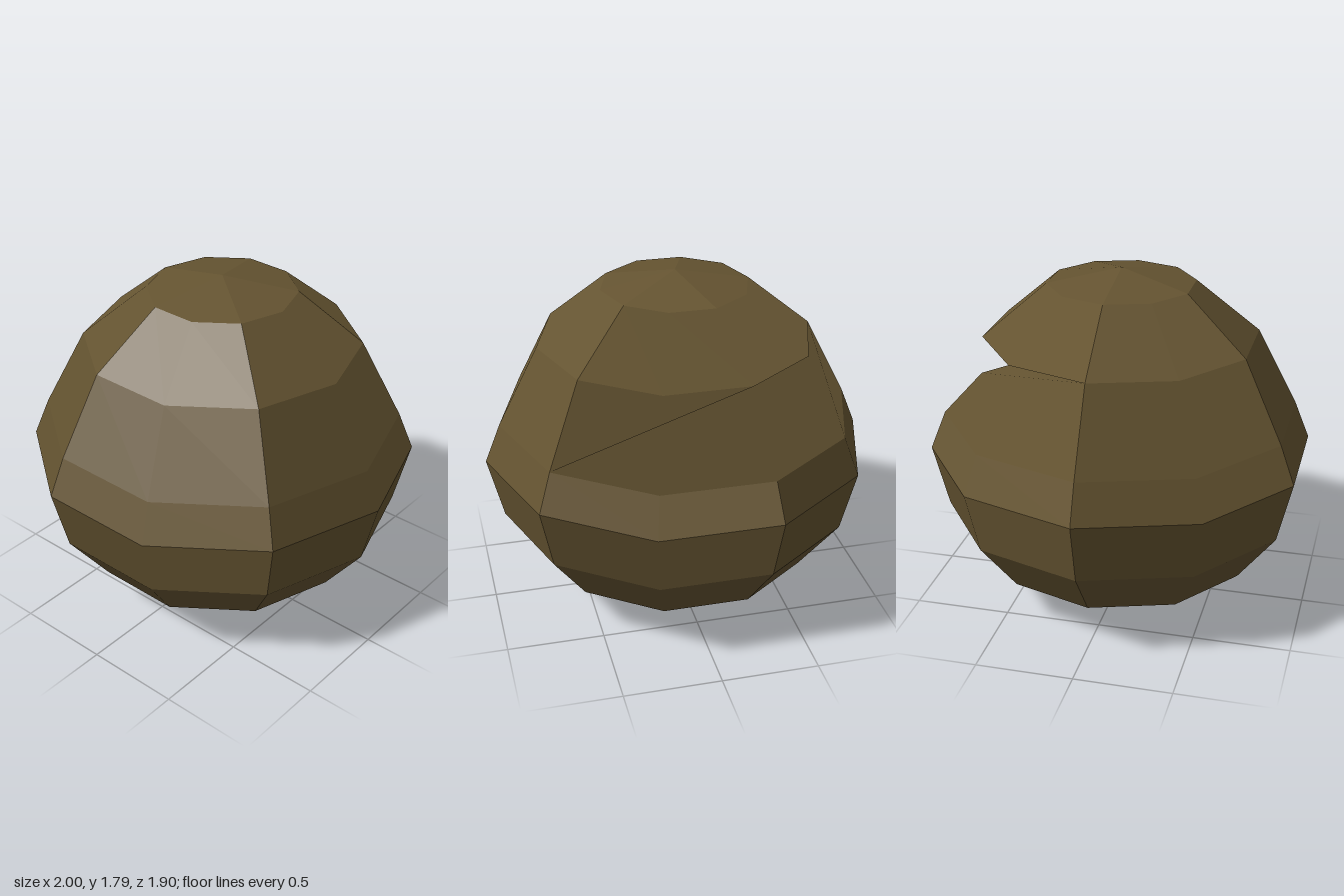
import * as THREE from 'three';

const SIDES = 10;
// [radius, height] of each ring, bottom to top
const RINGS = [
  [0, 0], [0.38, 0.045], [0.71, 0.23], [0.92, 0.505], [1, 0.83],
  [0.92, 1.03], [0.71, 1.44], [0.38, 1.715], [0, 1.79],
];
const NOTCH_ROW = 5;   // row with the cut across the back
const BACK_SIDES = 4;  // sides covered by the back panel

// Ring corner; side 0 starts at -x and runs round the back
function corner(ring, side) {
  const a = (side / SIDES) * Math.PI * 2;
  const [r, y] = RINGS[ring];
  return [-Math.cos(a) * r, y, -Math.sin(a) * r];
}

// One shared normal for a panel of neighbouring sides
function panelNormal(row, start, count) {
  const [r0, y0] = RINGS[row], [r1, y1] = RINGS[row + 1];
  const n = new THREE.Vector3();
  for (let i = 0; i < count; i++) {
    const a = ((start + i + 0.5) / SIDES) * Math.PI * 2;
    n.x -= Math.cos(a) * (y1 - y0);
    n.z -= Math.sin(a) * (y1 - y0);
    n.y += (r0 - r1) * Math.cos(Math.PI / SIDES);
  }
  return n.normalize();
}

function buildGeometry(fill) {
  const positions = [], normals = [];
  fill((normal, ...points) => {
    for (const p of points) {
      positions.push(...p);
      normals.push(normal.x, normal.y, normal.z);
    }
  });
  const g = new THREE.BufferGeometry();
  g.setAttribute('position', new THREE.Float32BufferAttribute(positions, 3));
  g.setAttribute('normal', new THREE.Float32BufferAttribute(normals, 3));
  return g;
}

export function createModel() {
  const group = new THREE.Group();
  group.name = 'boulder';
  const brown = new THREE.MeshStandardMaterial({ color: 0x655431, side: THREE.DoubleSide });
  brown.name = 'earthBrown';

  // Faceted round body, panels two sides wide
  const body = buildGeometry((tri) => {
    for (let row = 0; row < RINGS.length - 1; row++) {
      for (let s = 0; s < SIDES; s++) {
        const inBack = s < BACK_SIDES && (row === NOTCH_ROW || row === NOTCH_ROW + 1);
        if (inBack && row === NOTCH_ROW) continue;
        const n = inBack ? panelNormal(row, 0, BACK_SIDES) : panelNormal(row, s - (s % 2), 2);
        const a = corner(row, s + 1), b = corner(row, s);
        const c = corner(row + 1, s), d = corner(row + 1, s + 1);
        if (RINGS[row][0] > 0) tri(n, a, b, d);
        if (RINGS[row + 1][0] > 0) tri(n, b, c, d);
      }
    }
  });

  // Notch: a floor fanned from its upper end, an overhang fanned from its lower end
  const notch = buildGeometry((tri) => {
    const n = panelNormal(NOTCH_ROW, 0, BACK_SIDES);
    const high = corner(NOTCH_ROW + 1, 0), low = corner(NOTCH_ROW, BACK_SIDES);
    for (let s = 0; s < BACK_SIDES; s++) {
      tri(n, corner(NOTCH_ROW, s + 1), corner(NOTCH_ROW, s), high);
      tri(n, low, corner(NOTCH_ROW + 1, s), corner(NOTCH_ROW + 1, s + 1));
    }
  });

  for (const [name, geometry] of [['body', body], ['backNotch', notch]]) {
    const mesh = new THREE.Mesh(geometry, brown);
    mesh.name = name;
    group.add(mesh);
  }
  return group;
}
